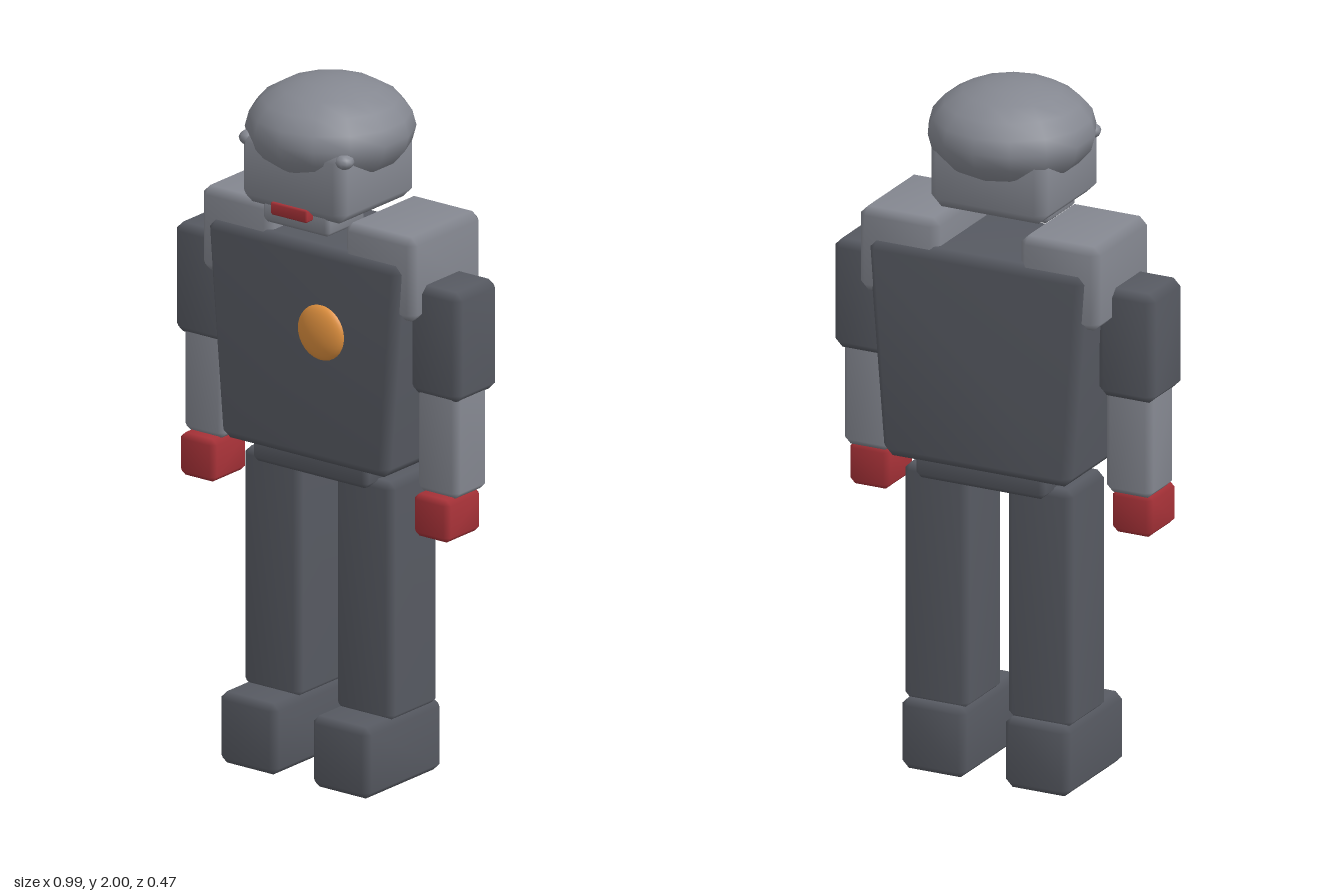
import * as THREE from 'three';
import { mergeVertices } from 'three/addons/utils/BufferGeometryUtils.js';
import { ConvexGeometry } from 'three/addons/geometries/ConvexGeometry.js';

const paint = (name, color) => {
  const m = new THREE.MeshStandardMaterial({ color });
  m.name = name;
  return m;
};

// Chamfered box between two limits per axis, smooth shaded; taper scales x at the bottom
function chamferBox([x0, x1], [y0, y1], [z0, z1], c, taper = 1) {
  const half = [(x1 - x0) / 2, (y1 - y0) / 2, (z1 - z0) / 2];
  const points = [];
  for (let axis = 0; axis < 3; axis++) {
    for (let i = 0; i < 8; i++) {
      const p = half.map((h, k) => (i & (1 << k) ? 1 : -1) * (k === axis ? h : h - c));
      const t = (p[1] + half[1]) / (2 * half[1]);
      p[0] *= taper + (1 - taper) * t;
      points.push(new THREE.Vector3(...p));
    }
  }
  let g = new ConvexGeometry(points);
  g.deleteAttribute('normal');
  g = mergeVertices(g);
  g.computeVertexNormals();
  g.translate((x0 + x1) / 2, (y0 + y1) / 2, (z0 + z1) / 2);
  return g;
}

export function createModel() {
  const dark = paint('dark grey', 0x575a62);
  const light = paint('light grey', 0x858891);
  const red = paint('red', 0xa83238);
  const orange = paint('orange', 0xe0913f);

  const model = new THREE.Group();
  model.name = 'robot';
  const add = (name, geometry, material) => {
    const mesh = new THREE.Mesh(geometry, material);
    mesh.name = name;
    model.add(mesh);
    return mesh;
  };

  // Head: flattened dome over a squared face, with mouth and jaw
  const dome = new THREE.SphereGeometry(1, 14, 10);
  dome.rotateY(Math.PI / 2);
  dome.scale(0.235, 0.14, 0.235);
  dome.translate(0, 1.86, 0);
  add('headDome', dome, light);
  add('face', chamferBox([-0.18, 0.18], [1.65, 1.86], [-0.16, 0.185], 0.03), light);
  add('jaw', chamferBox([-0.115, 0.115], [1.6, 1.67], [-0.01, 0.16], 0.012), light);
  add('mouth', chamferBox([-0.063, 0.063], [1.64, 1.677], [0.12, 0.19], 0.005), red);

  // Trunk
  add('torso', chamferBox([-0.34, 0.34], [0.925, 1.555], [-0.225, 0.132], 0.028, 0.85), dark);
  add('pelvis', chamferBox([-0.2, 0.2], [0.87, 0.96], [-0.198, 0.1], 0.015), dark);

  // Chest badge
  const badge = new THREE.SphereGeometry(1, 24, 16);
  badge.scale(0.08, 0.08, 0.03);
  badge.translate(0.07, 1.31, 0.129);
  add('chestBadge', badge, orange);

  // Paired parts, given for the left side: x, y and z limits, chamfer, colour
  const pairs = [
    ['Shoulder', [0.125, 0.37], [1.39, 1.635], [-0.205, 0.11], 0.022, light],
    ['UpperArm', [0.32, 0.495], [1.172, 1.49], [-0.118, 0.07], 0.022, dark],
    ['Forearm', [0.333, 0.476], [0.885, 1.2], [-0.094, 0.052], 0.018, light],
    ['Hand', [0.343, 0.467], [0.765, 0.888], [-0.076, 0.08], 0.015, red],
    ['Leg', [0.06, 0.26], [0.195, 0.89], [-0.153, 0.065], 0.02, dark],
    ['Foot', [0.06, 0.26], [0, 0.207], [-0.17, 0.172], 0.02, dark],
  ];
  for (const [side, s] of [['left', 1], ['right', -1]]) {
    for (const [name, x, y, z, c, material] of pairs) {
      const xs = s > 0 ? x : [-x[1], -x[0]];
      add(side + name, chamferBox(xs, y, z, c), material);
    }
    // Small knob under the dome rim
    const knob = new THREE.SphereGeometry(1, 10, 6);
    knob.scale(0.028, 0.022, 0.028);
    knob.translate(s * 0.165, 1.832, 0.152);
    add(side + 'Eye', knob, light);
  }
  return model;
}
